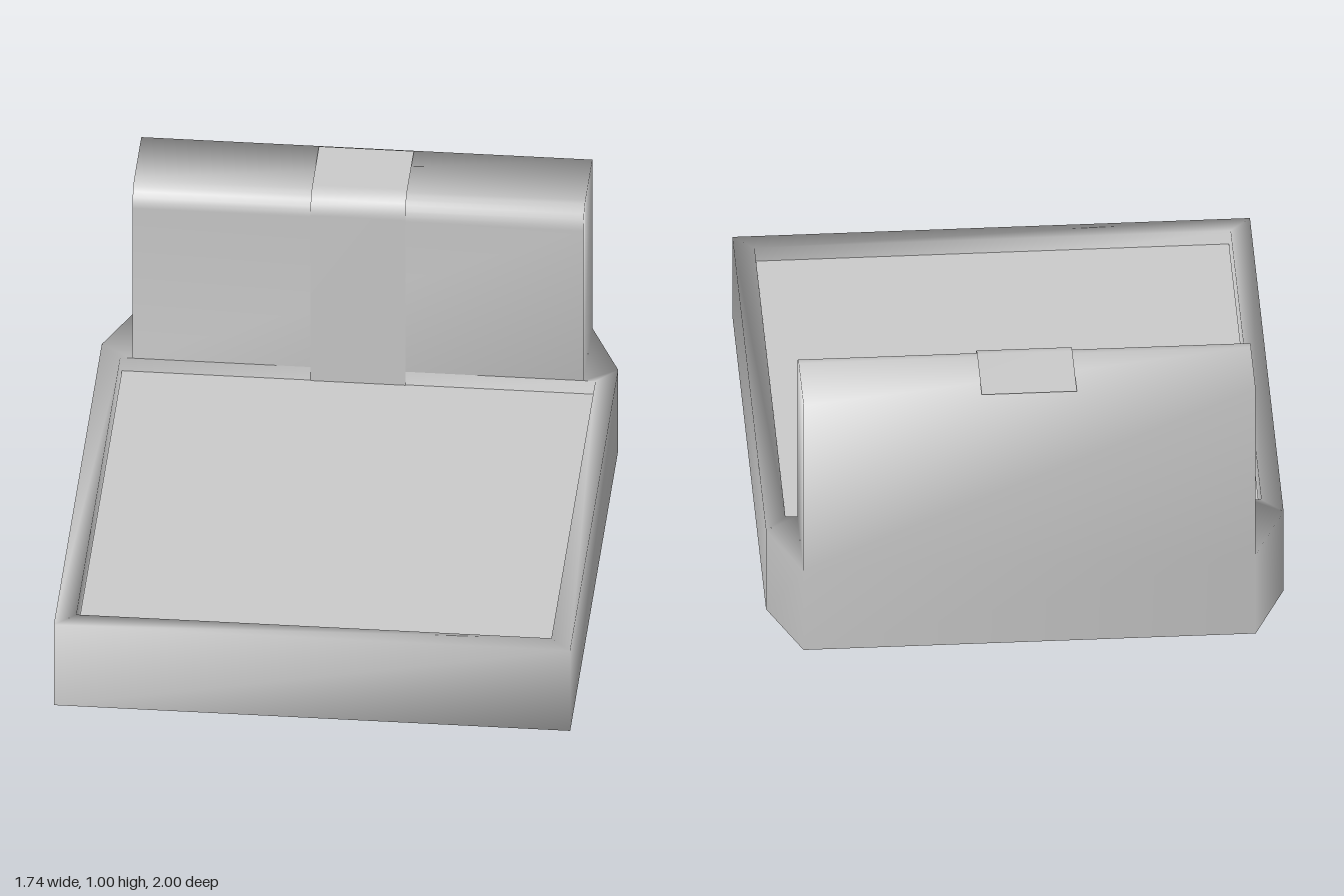
import * as THREE from 'three';

const material = () => new THREE.MeshStandardMaterial({ color: 0xcccccc, side: THREE.DoubleSide });

// Right-hand points [x, y, z], mirrored to the left.
// chain: point indices swept across from left to right; sides: polygons on the right, copied to the left.
function mirroredShell(name, points, chain, sides = []) {
  const n = points.length;
  const positions = [...points, ...points.map(([x, y, z]) => [-x, y, z])].flat();
  const index = [];
  for (let i = 0; i + 1 < chain.length; i++) {
    const p = chain[i], q = chain[i + 1];
    index.push(p + n, p, q, p + n, q, q + n);
  }
  for (const s of sides) {
    for (let i = 1; i + 1 < s.length; i++) {
      index.push(s[0], s[i], s[i + 1], s[0] + n, s[i + 1] + n, s[i] + n);
    }
  }
  const geometry = new THREE.BufferGeometry();
  geometry.setAttribute('position', new THREE.Float32BufferAttribute(positions, 3));
  geometry.setIndex(index);
  geometry.computeVertexNormals();
  const mesh = new THREE.Mesh(geometry, material());
  mesh.name = name;
  return mesh;
}

// Rounded front top edge, from the front face up and back onto the top
function roundedEdge(x, front, top, radius, steps = 6) {
  return Array.from({ length: steps + 1 }, (_, i) => {
    const a = (i / steps) * Math.PI / 2;
    return [x, top - radius + radius * Math.sin(a), front - radius + radius * Math.cos(a)];
  });
}

export function createModel() {
  const model = new THREE.Group();
  const rim = 0.32, floor = 0.115, waterLevel = 0.268, wallFront = -0.673;

  // Hollow basin with rim and bowl, running up into the rounded back wall
  const points = [
    [0.87, 0, 1], [0.87, rim, 1],            // 0, 1 front corner
    [0.87, 0, -0.75], [0.87, rim, -0.75],    // 2, 3 start of the chamfer
    [0.76, 0, -1], [0.76, rim, -1],          // 4, 5 back corner
    [0.8, rim, 0.93], [0.8, rim, wallFront], // 6, 7 inner rim
    [0.8, floor, 0.93], [0.8, floor, wallFront], // 8, 9 bowl floor
    [0.76, rim, wallFront],                  // 10 foot of the back wall
    ...roundedEdge(0.76, wallFront, 0.992, 0.075),
    [0.76, 0.992, -1],
  ];
  const wall = points.map((_, i) => i).slice(11);
  model.add(mirroredShell('basinAndBackWall', points,
    [0, 1, 6, 8, 9, 7, 10, ...wall, 5, 4],
    [
      [0, 2, 3, 1], [2, 4, 5, 3],         // outer walls
      [1, 3, 7, 6], [3, 5, 10, 7],        // rim
      [6, 7, 9, 8],                       // bowl wall
      [10, 5, ...[...wall].reverse()],    // side of the back wall
    ]));

  // Flat water surface, a little below the rim
  const water = new THREE.Mesh(new THREE.PlaneGeometry(1.59, 1.6).rotateX(-Math.PI / 2), material());
  water.name = 'waterSurface';
  water.position.set(0, waterLevel, 0.127);
  model.add(water);

  // Falling sheet of water, over the top and down the front of the back wall
  const sheet = [
    [0.16, waterLevel, -0.67],
    ...roundedEdge(0.16, -0.67, 1, 0.075),
    [0.16, 1, -0.985],
  ];
  model.add(mirroredShell('waterfall', sheet, sheet.map((_, i) => i)));

  return model;
}
